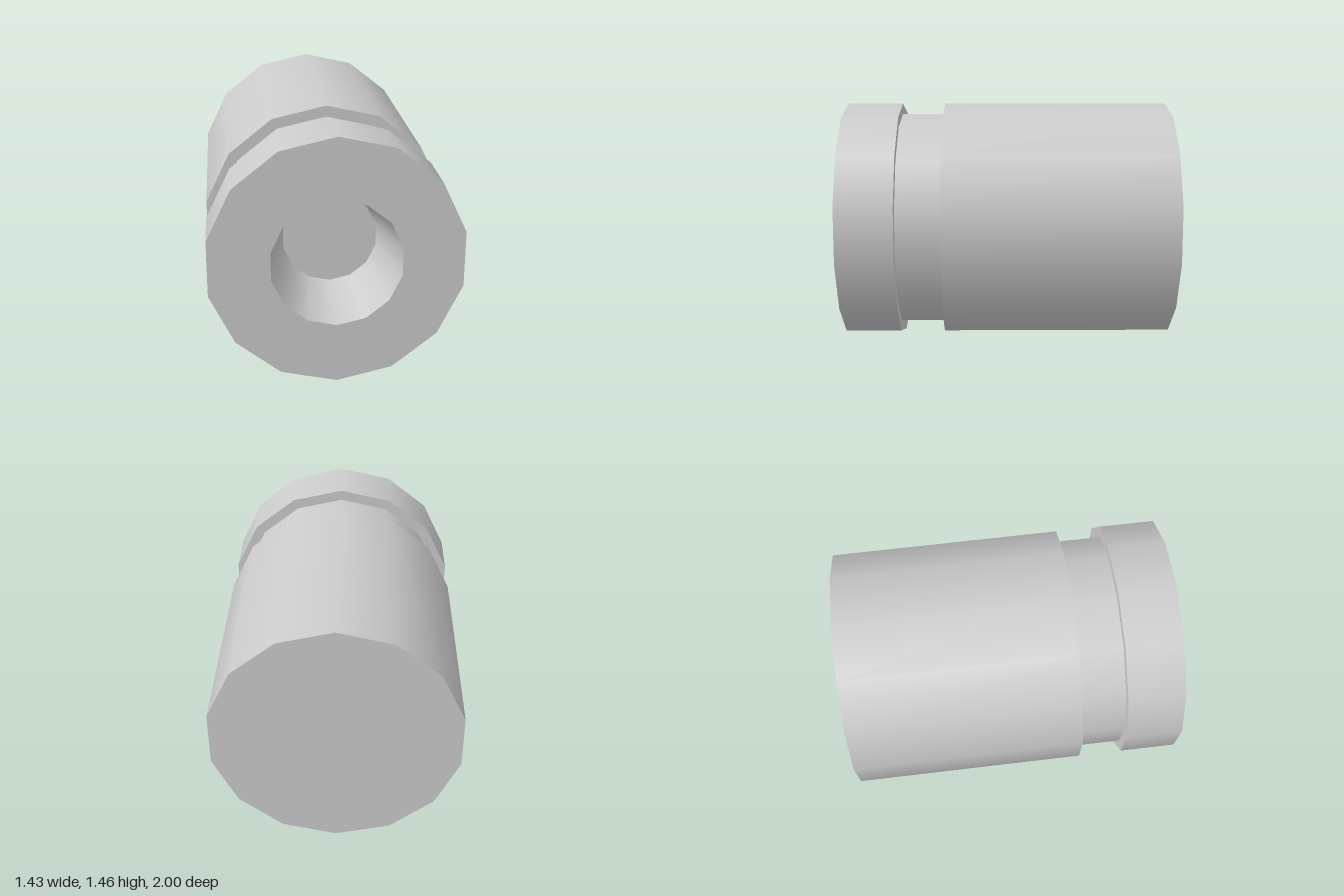
import * as THREE from 'three';

const SIDES = 14;
const R = 0.732;        // outer radius
const GROOVE_R = 0.666;
const BORE_R = 0.376;   // bore radius at the mouth
const FLOOR_R = 0.28;   // bore radius at its floor
const GROOVE_BACK = 0.39, GROOVE_FRONT = 0.658, BORE_FLOOR = 0.61;

export function createModel() {
  const model = new THREE.Group();
  model.name = 'groovedCylinder';
  const material = new THREE.MeshStandardMaterial({ color: 0xcccccc });

  // One band turned about z, from (radius, z) to (radius, z).
  // Separate bands keep the rims sharp while each wall shades smoothly.
  function band(name, from, to) {
    const profile = [new THREE.Vector2(...from), new THREE.Vector2(...to)];
    const geometry = new THREE.LatheGeometry(profile, SIDES);
    geometry.rotateX(Math.PI / 2);
    const mesh = new THREE.Mesh(geometry, material);
    mesh.name = name;
    mesh.position.y = R;
    model.add(mesh);
  }

  // Main body
  band('backCap', [0, -1], [R, -1]);
  band('bodyWall', [R, -1], [R, GROOVE_BACK]);

  // Groove around the body
  band('grooveBackStep', [R, GROOVE_BACK], [GROOVE_R, GROOVE_BACK]);
  band('grooveWall', [GROOVE_R, GROOVE_BACK], [GROOVE_R, GROOVE_FRONT]);
  band('grooveFrontStep', [GROOVE_R, GROOVE_FRONT], [R, GROOVE_FRONT]);

  // Front collar
  band('collarWall', [R, GROOVE_FRONT], [R, 1]);
  band('frontFace', [R, 1], [BORE_R, 1]);

  // Tapered blind bore
  band('boreWall', [BORE_R, 1], [FLOOR_R, BORE_FLOOR]);
  band('boreFloor', [FLOOR_R, BORE_FLOOR], [0, BORE_FLOOR]);

  return model;
}
